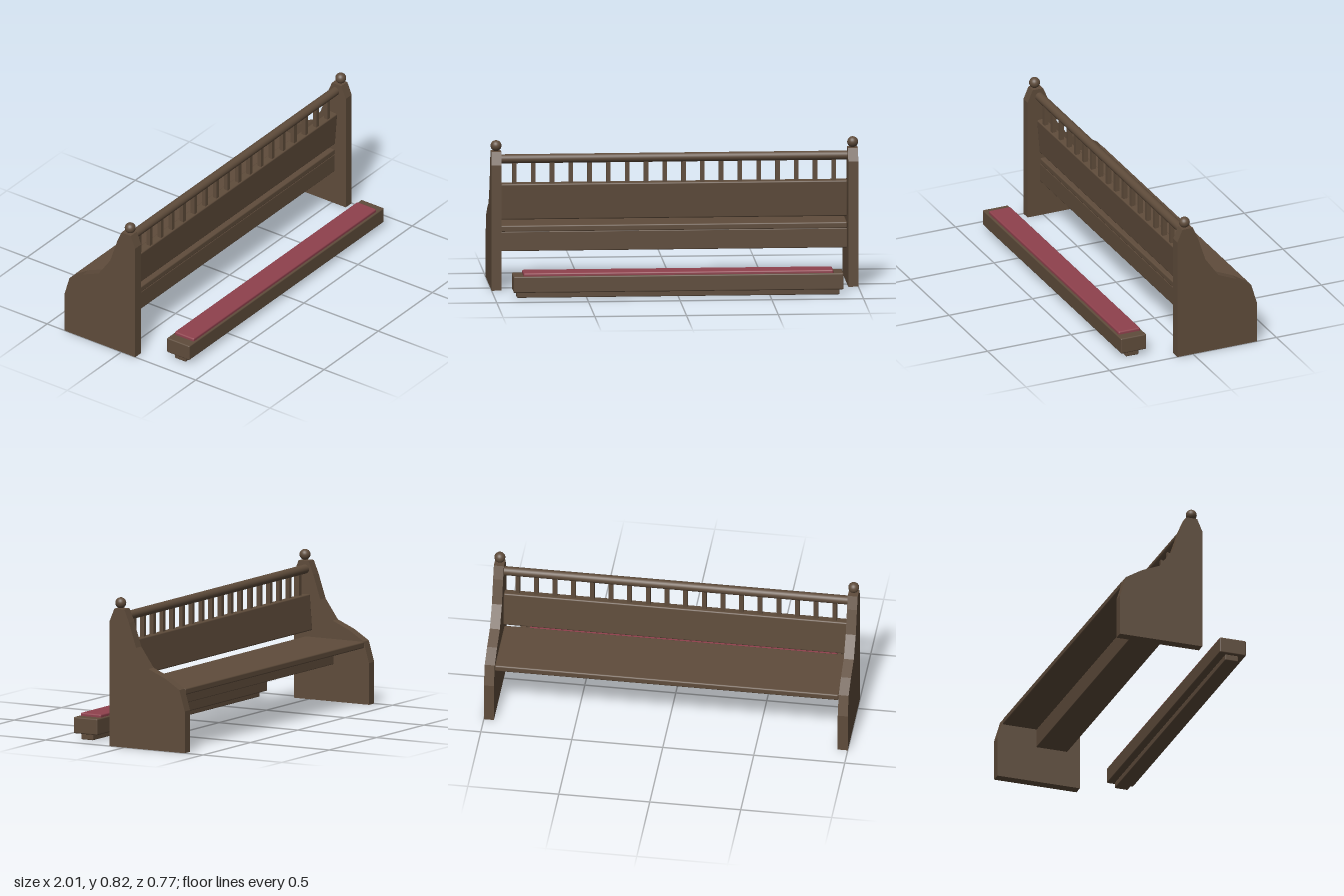
import * as THREE from 'three';
import { RoundedBoxGeometry } from 'three/addons/geometries/RoundedBoxGeometry.js';

export function createModel() {
  const group = new THREE.Group();
  const wood = new THREE.MeshStandardMaterial({ color: 0x5f4c3b });
  wood.name = 'dark wood';
  const fabric = new THREE.MeshStandardMaterial({ color: 0x8f414d });
  fabric.name = 'red fabric';

  function add(name, geometry, material, x, y, z, tilt = 0) {
    const mesh = new THREE.Mesh(geometry, material);
    mesh.name = name;
    mesh.position.set(x, y, z);
    mesh.rotation.x = tilt;
    group.add(mesh);
    return mesh;
  }
  const board = (w, h, d, r = 0.005) => new RoundedBoxGeometry(w, h, d, 2, r);

  // Side panels: outline as (z, y), extruded across the thickness
  const outline = [
    [0.093, 0], [0.093, 0.69], [0.063, 0.76], [0, 0.76], [-0.03, 0.69], [-0.075, 0.555],
    [-0.153, 0.445], [-0.26, 0.4], [-0.35, 0.345], [-0.384, 0.23], [-0.384, 0],
  ];
  const thick = 0.055;
  const shape = new THREE.Shape(outline.map(([z, y]) => new THREE.Vector2(-z, y)));
  const panelGeo = new THREE.ExtrudeGeometry(shape, { depth: thick, bevelEnabled: false });
  panelGeo.translate(0, 0, -thick / 2);
  panelGeo.rotateY(Math.PI / 2);

  for (const side of [-1, 1]) {
    const label = side > 0 ? 'left' : 'right';
    add(label + 'SidePanel', panelGeo, wood, side * (1 - thick / 2), 0, 0);
    add(label + 'Finial', new THREE.SphereGeometry(0.03, 24, 16), wood, side * (1 - thick / 2), 0.791, 0.039);
  }

  // Level seat with a support beam beneath its rear
  const inner = 1.89;
  add('seat', board(inner, 0.036, 0.375, 0.008), wood, 0, 0.328, -0.1675);
  add('seatBeam', board(inner, 0.108, 0.18), wood, 0, 0.259, -0.07);

  // Slightly reclined backrest, square spindles and round top rail
  add('backrest', board(inner, 0.2, 0.05, 0.008), wood, 0, 0.48, 0.006, 0.08);
  const spindleGeo = new THREE.BoxGeometry(0.024, 0.14, 0.024);
  for (let i = 0; i < 18; i++) {
    add('spindle', spindleGeo, wood, (i - 8.5) * 0.1025, 0.635, 0.02);
  }
  const railGeo = new THREE.CylinderGeometry(0.025, 0.025, inner, 24);
  railGeo.rotateZ(Math.PI / 2);
  add('topRail', railGeo, wood, 0, 0.715, 0.022);

  // Separate kneeler behind the bench
  add('kneelerBase', board(1.76, 0.035, 0.075), wood, 0, 0.0175, 0.308);
  add('kneelerBody', board(1.8, 0.09, 0.152, 0.007), wood, 0, 0.078, 0.308);
  add('kneelerCushion', board(1.69, 0.026, 0.13, 0.008), fabric, 0, 0.127, 0.308);

  return group;
}
